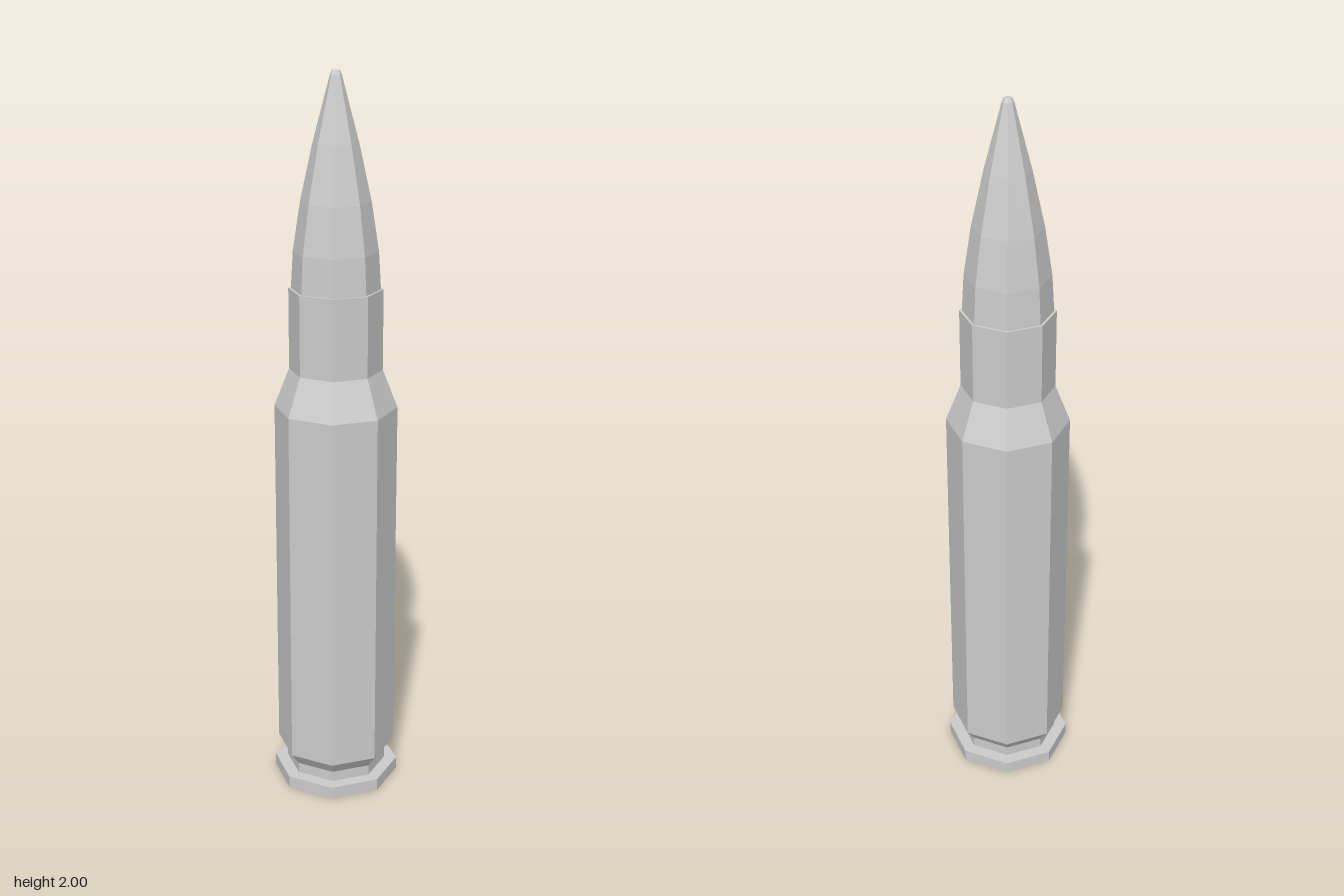
import * as THREE from 'three';

const SIDES = 8;

// Faceted solid of revolution from [radius, height] pairs, listed bottom to top
function turned(name, profile, material) {
  const points = profile.map(([r, y]) => new THREE.Vector2(r, y));
  const mesh = new THREE.Mesh(new THREE.LatheGeometry(points, SIDES), material);
  mesh.name = name;
  return mesh;
}

export function createModel() {
  const model = new THREE.Group();
  model.name = 'cartridge';
  const material = new THREE.MeshStandardMaterial({ color: 0xcccccc, flatShading: true });

  // Case: rim, extractor groove, body, shoulder, neck and mouth
  model.add(turned('case', [
    [0, 0], [0.178, 0], [0.178, 0.035],
    [0.142, 0.035], [0.142, 0.065],
    [0.167, 0.1], [0.167, 1.115],
    [0.126, 1.22], [0.126, 1.44], [0.117, 1.44],
  ], material));

  // Bullet: pointed ogive with a small blunt tip
  model.add(turned('bullet', [
    [0.119, 1.44], [0.113, 1.54], [0.093, 1.67],
    [0.06, 1.82], [0.015, 1.99], [0.01, 2], [0, 2],
  ], material));

  return model;
}
